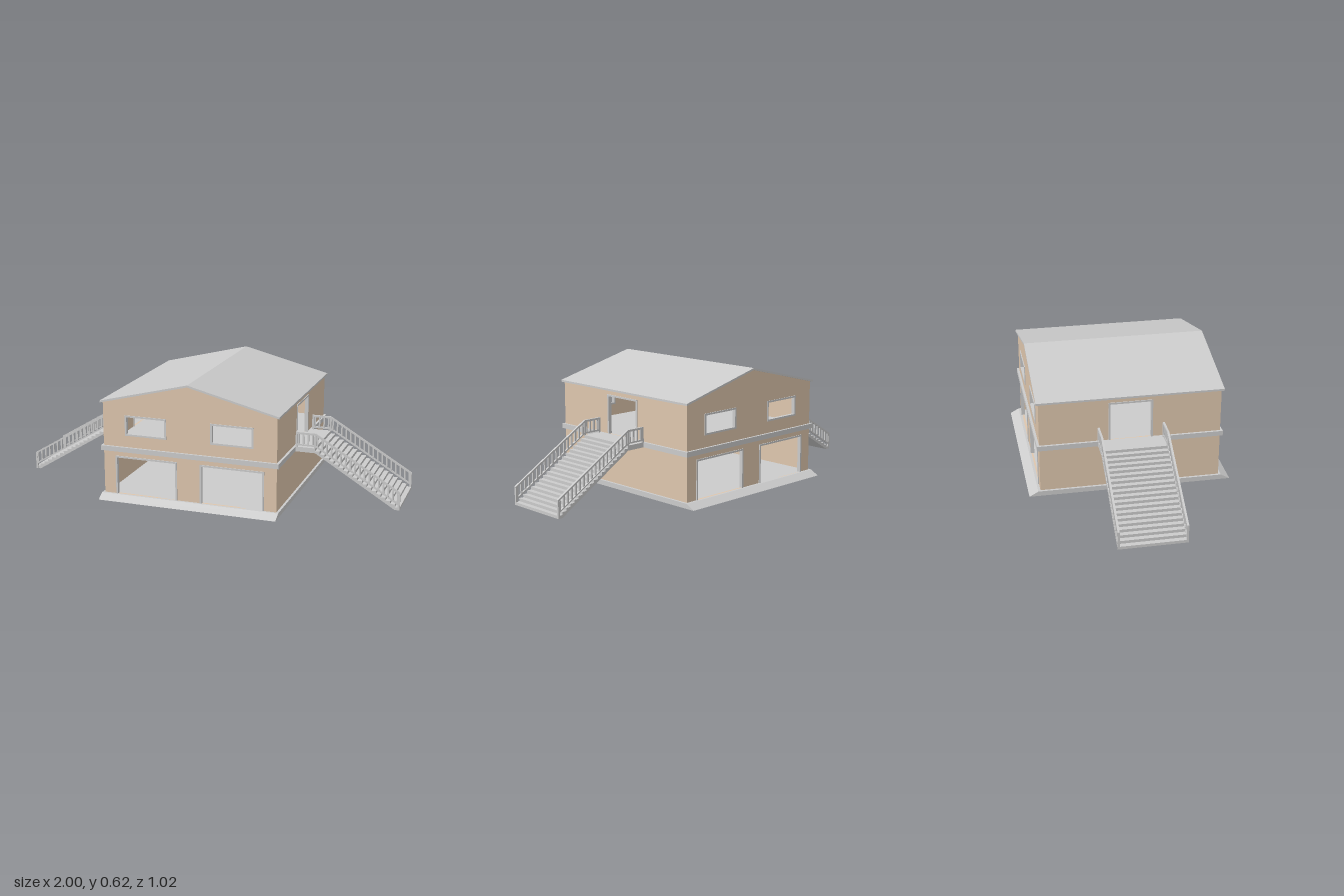
import * as THREE from 'three';

const grey = new THREE.MeshStandardMaterial({ color: 0xcccccc, flatShading: true });
const beige = new THREE.MeshStandardMaterial({ color: 0xdec6ad, flatShading: true });

const W = 0.453;      // half width of the walls
const SLAB = 0.465;   // half width of slabs and roof
const T = 0.012;      // wall thickness
const BASE = 0.025, FLOOR = 0.275;

const shapeOf = (pts) => new THREE.Shape(pts.map(([x, y]) => new THREE.Vector2(x, y)));
const rectPts = (x0, y0, x1, y1) => [[x0, y0], [x1, y0], [x1, y1], [x0, y1]];

function add(parent, name, geometry, material = grey) {
  const mesh = new THREE.Mesh(geometry, material);
  mesh.name = name;
  parent.add(mesh);
  return mesh;
}

function box(parent, name, x0, x1, y0, y1, z0, z1) {
  const mesh = add(parent, name, new THREE.BoxGeometry(x1 - x0, y1 - y0, z1 - z0));
  mesh.position.set((x0 + x1) / 2, (y0 + y1) / 2, (z0 + z1) / 2);
  return mesh;
}

// Extrusion of an outline between z0 and z1
function slab(shape, z0, z1) {
  const g = new THREE.ExtrudeGeometry(shape, { depth: z1 - z0, bevelEnabled: false });
  return g.translate(0, 0, z0);
}

// Wall with openings {x0, y0, x1, y1, sill}; its outer face lies at z = W
function wall(name, outline, openings) {
  const group = new THREE.Group();
  group.name = name;
  const shape = shapeOf(outline);
  for (const o of openings) {
    shape.holes.push(new THREE.Path(shapeOf(rectPts(o.x0, o.y0, o.x1, o.y1)).getPoints()));
  }
  add(group, 'wallPanel', slab(shape, W - T, W), beige);

  // Trim around each opening, standing slightly proud of the wall
  for (const o of openings) {
    const f = 0.009;
    let trim;
    if (o.sill) {
      trim = shapeOf(rectPts(o.x0, o.y0, o.x1, o.y1));
      trim.holes.push(new THREE.Path(
        shapeOf(rectPts(o.x0 + f, o.y0 + f, o.x1 - f, o.y1 - f)).getPoints()));
    } else {
      trim = shapeOf([[o.x0, o.y0], [o.x0 + f, o.y0], [o.x0 + f, o.y1 - f], [o.x1 - f, o.y1 - f],
        [o.x1 - f, o.y0], [o.x1, o.y0], [o.x1, o.y1], [o.x0, o.y1]]);
    }
    add(group, o.sill ? 'windowFrame' : 'doorFrame', slab(trim, W - T - 0.003, W + 0.004));
  }
  return group;
}

// Landing, flight of steps and two railings on the +x side
function staircase() {
  const group = new THREE.Group();
  const top = 0.565, end = 1, half = 0.165, steps = 18;
  const run = (end - top) / steps, rise = FLOOR / (steps + 1);

  box(group, 'landing', W, top, 0.25, FLOOR, -half, half);

  const profile = [[top, 0.25], [0.975, 0], [end, 0]];
  for (let i = steps; i >= 1; i--) {
    const y = FLOOR - i * rise;
    profile.push([top + i * run, y], [top + (i - 1) * run, y]);
  }
  add(group, 'steps', slab(shapeOf(profile), -half, half));

  // Height of the nosing line along the stair
  const lineAt = (x) => FLOOR - Math.max(0, x - top) * rise / run;
  const rail = (lo, hi) => shapeOf([
    [SLAB, FLOOR + lo], [top, FLOOR + lo], [end, lineAt(end) + lo],
    [end, lineAt(end) + hi], [top, FLOOR + hi], [SLAB, FLOOR + hi]]);

  for (const side of [-1, 1]) {
    const railing = new THREE.Group();
    railing.name = side > 0 ? 'frontRailing' : 'backRailing';
    const zc = side * 0.162, z0 = zc - 0.005, z1 = zc + 0.005;
    add(railing, 'handRail', slab(rail(0.067, 0.077), z0, z1));
    add(railing, 'lowerRail', slab(rail(0.008, 0.016), z0, z1));
    // Posts at the house, the bend and the foot
    for (const x of [SLAB, top - 0.005, end - 0.01]) {
      const foot = x > 0.9 ? 0 : FLOOR;
      box(railing, 'post', x, x + 0.01, foot, lineAt(x + 0.01) + 0.07, z0, z1);
    }
    // Balusters, one per step and four on the landing
    for (let x = top - 4 * run; x < end - run / 2; x += run) {
      const c = x + run / 2;
      box(railing, 'baluster', c - 0.004, c + 0.004, lineAt(c) + 0.012, lineAt(c) + 0.07,
        zc - 0.004, zc + 0.004);
    }
    group.add(railing);
  }
  return group;
}

export function createModel() {
  const model = new THREE.Group();
  model.name = 'house';

  // Base slab with ramps at front and back
  const base = slab(shapeOf([[-0.51, 0], [0.51, 0], [SLAB, BASE], [-SLAB, BASE]]), -SLAB, SLAB);
  add(model, 'baseSlab', base.rotateY(Math.PI / 2));

  box(model, 'upperFloor', -SLAB, SLAB, 0.25, FLOOR, -SLAB, SLAB);

  // Gable walls with garage doorways and windows
  const openings = [];
  for (const s of [-1, 1]) {
    const span = (a, b) => ({ x0: Math.min(s * a, s * b), x1: Math.max(s * a, s * b) });
    openings.push({ ...span(0.06, 0.39), y0: BASE, y1: 0.225, sill: false });
    openings.push({ ...span(0.115, 0.335), y0: 0.335, y1: 0.44, sill: true });
  }
  const gable = [[-W, 0.015], [W, 0.015], [W, 0.503], [0, 0.616], [-W, 0.503]];
  // Side walls with one upper doorway
  const sideOutline = rectPts(-W + T, 0.015, W - T, 0.5);
  const sideDoor = [{ x0: -0.11, x1: 0.11, y0: FLOOR, y1: 0.476, sill: false }];

  ['front', 'back'].forEach((name, i) => {
    const g = wall(name + 'Wall', gable, openings);
    g.rotation.y = i * Math.PI;
    model.add(g);
  });
  ['left', 'right'].forEach((name, i) => {
    const w = wall(name + 'Wall', sideOutline, sideDoor);
    w.rotation.y = Math.PI / 2 + i * Math.PI;
    const s = staircase();
    s.name = name + 'Staircase';
    s.rotation.y = i * Math.PI;
    model.add(w, s);
  });

  // Pitched roof
  const roof = shapeOf([[-SLAB, 0.497], [0, 0.613], [SLAB, 0.497],
    [SLAB, 0.507], [0, 0.623], [-SLAB, 0.507]]);
  add(model, 'roof', slab(roof, -SLAB, SLAB));

  return model;
}
